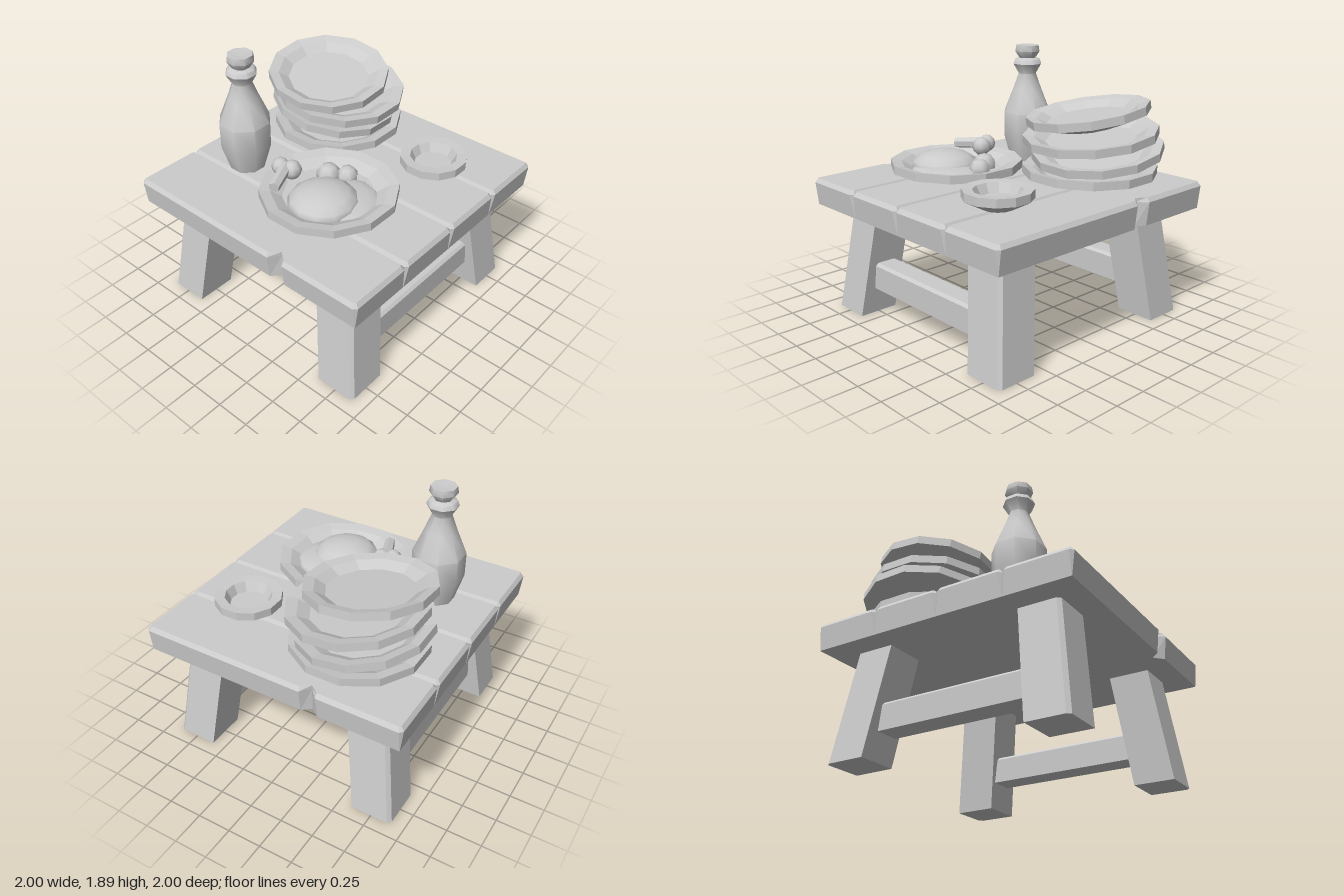
import * as THREE from 'three';
import { toCreasedNormals } from 'three/addons/utils/BufferGeometryUtils.js';

const flat = new THREE.MeshStandardMaterial({ color: 0xcccccc, flatShading: true });
const smooth = new THREE.MeshStandardMaterial({ color: 0xcccccc });

// Solid from stacked outlines: levels = [[y, [[x, z], ...]], ...], counter-clockwise from above
function loft(levels) {
  const pos = [];
  const put = (k, i) => {
    const [y, pts] = levels[k];
    const p = pts[i % pts.length];
    pos.push(p[0], y, p[1]);
  };
  const n = levels[0][1].length, last = levels.length - 1;
  for (let k = 0; k < last; k++) {
    for (let i = 0; i < n; i++) {
      put(k, i); put(k, i + 1); put(k + 1, i + 1);
      put(k, i); put(k + 1, i + 1); put(k + 1, i);
    }
  }
  for (const k of [0, last]) {
    const contour = levels[k][1].map(([x, z]) => new THREE.Vector2(x, -z));
    for (const f of THREE.ShapeUtils.triangulateShape(contour, [])) {
      (k ? f : [...f].reverse()).forEach((i) => put(k, i));
    }
  }
  const g = new THREE.BufferGeometry();
  g.setAttribute('position', new THREE.Float32BufferAttribute(pos, 3));
  g.computeVertexNormals();
  return g;
}

function lathe(profile, sides) {
  const g = new THREE.LatheGeometry(profile.map(([r, y]) => new THREE.Vector2(r, y)), sides);
  return g.rotateY(Math.PI / sides);
}

// Plank outline: inset from its edges, corners cut by c, optional notch on the outer side
function plankOutline(i, inset, zHalf, outer, c) {
  const x0 = (i === 0 ? -outer : -1 + i * 0.5) + inset;
  const x1 = (i === 3 ? outer : -0.5 + i * 0.5) - inset;
  const z = zHalf - inset;
  const pts = [[x0 + c, z], [x1 - c, z], [x1, z - c]];
  if (i === 3) pts.push([x1, -0.26], [0.93, -0.32], [x1, -0.385]);
  pts.push([x1, -z + c], [x1 - c, -z], [x0 + c, -z], [x0, -z + c]);
  if (i === 0) pts.push([x0, 0.26], [-0.92, 0.32], [x0, 0.39]);
  pts.push([x0, z - c]);
  return pts;
}

// Splayed leg section with a chamfered outer corner
function legOutline(sx, sz, inner) {
  const o = inner + 0.3, c = 0.025;
  const pts = [[inner, inner], [inner, o], [o - c, o], [o, o - c], [o, inner]]
    .map(([x, z]) => [x * sx, z * sz]);
  return sx * sz > 0 ? pts : pts.reverse();
}

export function createModel() {
  const model = new THREE.Group();
  const add = (name, geo, mat, parent = model) => {
    const m = new THREE.Mesh(geo, mat);
    m.name = name;
    parent.add(m);
    return m;
  };

  // Table top
  const top = new THREE.Group();
  top.name = 'tableTop';
  model.add(top);
  for (let i = 0; i < 4; i++) {
    add('plank', loft([
      [0.8, plankOutline(i, 0, 0.98, 0.98, 0.002)],
      [0.97, plankOutline(i, 0, 1, 1, 0.024)],
      [1, plankOutline(i, 0.022, 1, 1, 0.012)],
    ]), flat, top);
  }

  // Legs and rails
  for (const sz of [1, -1]) {
    for (const sx of [1, -1]) {
      add('leg', loft([[0, legOutline(sx, sz, 0.6)], [0.8, legOutline(sx, sz, 0.5)]]), flat);
    }
    const rail = (h) => [[-0.62, h], [0.62, h], [0.62, -h], [-0.62, -h]];
    add('rail', loft([[0.2, rail(0.09)], [0.38, rail(0.09)], [0.4, rail(0.07)]]), flat)
      .position.z = sz * 0.7;
  }

  // Plates: origin at the rim centre; slopes give the tilt along x and towards the back
  const plateGeo = lathe([
    [0, -0.13], [0.23, -0.13], [0.483, -0.06], [0.483, 0],
    [0.405, -0.015], [0.325, -0.06], [0, -0.06],
  ], 12);
  const plates = [
    ['servingPlate', -0.325, 1.13, 0.2, 0, 0, 1],
    ['stackedPlate', 0.45, 1.13, -0.39, 0, 0, 1],
    ['stackedPlate', 0.475, 1.26, -0.44, -0.03, 0.155, 0.98],
    ['stackedPlate', 0.462, 1.385, -0.377, 0.01, 0.107, 1],
    ['stackedPlate', 0.385, 1.52, -0.427, 0.1, 0.115, 0.925],
  ];
  for (const [name, x, y, z, slopeX, slopeBack, s] of plates) {
    const p = add(name, plateGeo, flat);
    p.position.set(x, y, z);
    p.rotation.set(Math.atan(slopeBack), 0, Math.atan(slopeX));
    p.scale.set(s, 1, s);
  }

  // Small dish
  add('smallDish', lathe([
    [0, 0], [0.11, 0], [0.242, 0.07], [0.242, 0.13], [0.17, 0.125], [0.135, 0.06], [0, 0.06],
  ], 12), flat).position.set(0.46, 1, 0.505);

  // Bottle
  const bottle = lathe([
    [0, 0], [0.13, 0], [0.19, 0.2], [0.19, 0.38], [0.115, 0.56], [0.07, 0.68], [0.114, 0.755],
    [0.1, 0.788], [0.065, 0.8], [0.1, 0.85], [0.092, 0.895], [0.065, 0.895], [0, 0.88],
  ], 8);
  add('bottle', toCreasedNormals(bottle, 0.85), smooth).position.set(-0.365, 1, -0.56);

  // Food on the serving plate
  const food = new THREE.Group();
  food.name = 'food';
  model.add(food);
  const ball = (name, r, x, y, z, w = 8, h = 6) => {
    const m = add(name, new THREE.SphereGeometry(r, w, h), smooth, food);
    m.position.set(x, y, z);
    return m;
  };
  ball('mashMound', 1, -0.42, 1.07, 0.23, 12, 8).scale.set(0.25, 0.12, 0.25);
  ball('sauce', 1, -0.32, 1.06, 0.3, 12, 8).scale.set(0.27, 0.05, 0.26);
  ball('dumpling', 0.09, -0.175, 1.085, 0.06, 7, 5);
  ball('dumpling', 0.08, -0.1, 1.085, 0.17, 7, 5);

  // Bone: tapered shaft ending in two knobs
  const a = new THREE.Vector3(-0.615, 1.165, -0.04), b = new THREE.Vector3(-0.4, 1.185, -0.13);
  const shaft = add('boneShaft', new THREE.CylinderGeometry(0.045, 0.04, a.distanceTo(b), 6), flat, food);
  shaft.position.copy(a).lerp(b, 0.5);
  shaft.quaternion.setFromUnitVectors(new THREE.Vector3(0, 1, 0), b.clone().sub(a).normalize());
  ball('boneKnob', 0.065, -0.41, 1.175, -0.175);
  ball('boneKnob', 0.07, -0.38, 1.165, -0.095);

  return model;
}
